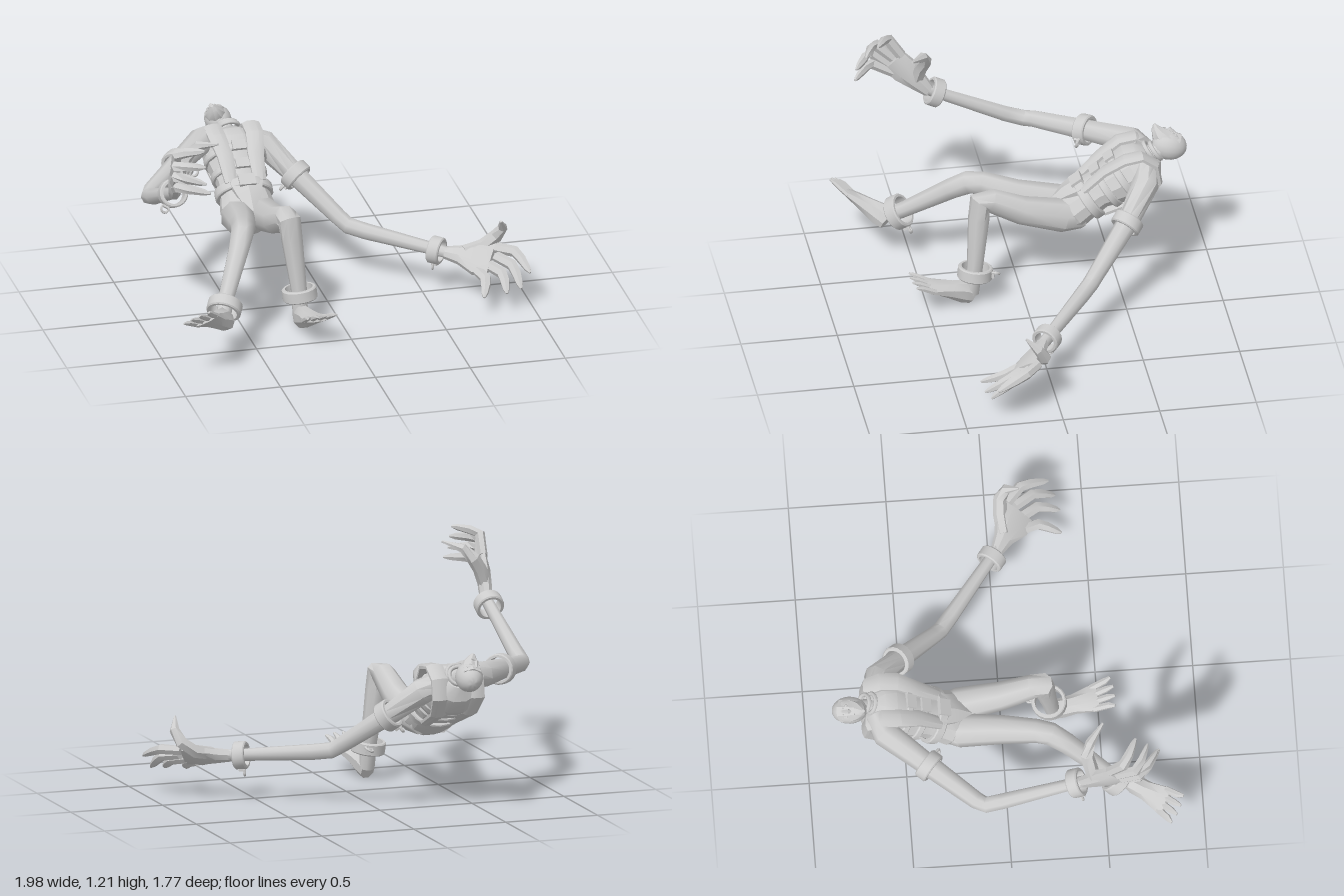
import * as THREE from 'three';
import { toCreasedNormals } from 'three/addons/utils/BufferGeometryUtils.js';

const V = (a) => new THREE.Vector3(a[0], a[1], a[2]);
const grey = new THREE.MeshStandardMaterial({ color: 0xcccccc });

function add(parent, name, geometry, crease = 0.85) {
  const mesh = new THREE.Mesh(toCreasedNormals(geometry, crease), grey);
  mesh.name = name;
  parent.add(mesh);
  return mesh;
}

// Skin over oval cross-sections [x, y, z, halfWidth, halfDepth]; ref is the depth direction
function loft(sections, ref = V([0, 1, 0.01]), n = 8) {
  const pos = [], idx = [], last = sections.length - 1;
  sections.forEach((s, i) => {
    const T = V(sections[Math.min(i + 1, last)]).sub(V(sections[Math.max(i - 1, 0)])).normalize();
    const S = ref.clone().cross(T).normalize(), F = T.clone().cross(S);
    for (let j = 0; j < n; j++) {
      const t = (j + 0.5) / n * Math.PI * 2;
      const p = V(s).addScaledVector(S, s[3] * Math.cos(t)).addScaledVector(F, (s[4] ?? s[3]) * Math.sin(t));
      pos.push(p.x, p.y, p.z);
      if (i < last) {
        const a = i * n + j, b = i * n + (j + 1) % n;
        idx.push(a, b, b + n, a, b + n, a + n);
      }
    }
  });
  for (let j = 1; j < n - 1; j++) {
    idx.push(0, j + 1, j, last * n, last * n + j, last * n + j + 1);
  }
  const g = new THREE.BufferGeometry();
  g.setAttribute('position', new THREE.Float32BufferAttribute(pos, 3));
  g.setIndex(idx);
  return g;
}

// Square-edged ring around y
function ring(ri, ro, h) {
  const b = 0.006;
  const p = [[ri, -h], [ro - b, -h], [ro, -h + b], [ro, h - b], [ro - b, h], [ri, h], [ri, -h]];
  return new THREE.LatheGeometry(p.map(([x, y]) => new THREE.Vector2(x, y)), 20);
}

// Cuff around a limb with a loop hanging on the given side
function cuff(parent, name, at, dir, side, r, h = 0.032) {
  const g = new THREE.Group();
  g.name = name;
  const Y = V(dir).normalize(), X = V(side);
  X.addScaledVector(Y, -X.dot(Y)).normalize();
  g.setRotationFromMatrix(new THREE.Matrix4().makeBasis(X, Y, X.clone().cross(Y)));
  g.position.copy(V(at));
  add(g, 'band', ring(r - 0.018, r, h), 0.6);
  add(g, 'lug', new THREE.BoxGeometry(0.016, 0.03, 0.03)).position.x = r + 0.002;
  const loop = add(g, 'loop', new THREE.TorusGeometry(0.022, 0.007, 6, 14), 1);
  loop.position.set(r + 0.012, -0.01, 0);
  loop.rotation.x = Math.PI / 2.6;
  parent.add(g);
}

// Palm spread between wrist and knuckles, with bent tapering fingers and a thumb
function hand(parent, name, wrist, fingers, thumb) {
  const g = new THREE.Group();
  g.name = name;
  const first = V(fingers[0][0]), end = V(fingers[3][0]);
  const K = first.clone().sub(end), w = K.length() / 2 + 0.025;
  const mid = first.add(end).multiplyScalar(0.5), W = V(wrist);
  const ref = mid.clone().sub(W).cross(K).normalize();
  const at = (t) => W.clone().lerp(mid, t).toArray();
  add(g, 'palm', loft([[...at(0), 0.034, 0.03], [...at(0.35), 0.055, 0.036],
    [...at(0.75), w, 0.036], [...at(1.12), w, 0.024]], ref), 0.5);
  for (const f of fingers) {
    const [a, b, c] = f;
    add(g, 'finger', loft([[...a, 0.029, 0.025], [...V(a).lerp(V(b), 0.9).toArray(), 0.03, 0.027],
      [...V(b).lerp(V(c), 0.35).toArray(), 0.026, 0.023], [...V(b).lerp(V(c), 0.8).toArray(), 0.018, 0.014],
      [...c, 0.006]], ref, 6), 0.5);
  }
  const tr = [0.035, 0.036, 0.035, 0.026, 0.006];
  add(g, 'thumb', loft(thumb.map((p, i) => [...p, tr[i]]), ref, 6), 0.5);
  parent.add(g);
}

// Wedge foot from heel to toe base, with four spread toes; across is the width direction
function foot(parent, name, heel, tip, across) {
  const g = new THREE.Group();
  g.name = name;
  const H = V(heel), D = V(tip).sub(H), K = V(across).normalize();
  const up = K.clone().cross(D).normalize();
  const at = (t, k = 0, u = 0) => H.clone().addScaledVector(D, t).addScaledVector(K, k).addScaledVector(up, u).toArray();
  add(g, 'sole', loft([[...at(-0.08), 0.038, 0.05], [...at(0.08), 0.05, 0.062], [...at(0.3, 0, -0.015), 0.052, 0.046],
    [...at(0.55, 0, -0.03), 0.072, 0.028], [...at(0.7, 0, -0.04), 0.08, 0.016]], up), 0.5);
  for (let i = 0; i < 4; i++) {
    const k = (i - 1.5) * 0.037;
    add(g, 'toe', loft([[...at(0.6, k, -0.035), 0.02, 0.016], [...at(0.86, k * 1.2, -0.036), 0.018, 0.013],
      [...at(1 - Math.abs(i - 1.5) * 0.03, k * 1.4, -0.04), 0.008, 0.005]], up, 6), 0.5);
  }
  parent.add(g);
}

function makeTorso() {
  const g = new THREE.Group();
  g.name = 'torso';
  g.position.set(-0.35, 0.45, -0.28);
  g.rotation.x = -0.977;
  const front = V([0, 0, 1]);
  add(g, 'body', loft([[0, -0.13, 0, 0.05, 0.04], [0, -0.08, 0, 0.11, 0.085], [0, 0, 0, 0.145, 0.11],
    [0, 0.09, 0, 0.13, 0.1], [0, 0.16, 0, 0.125, 0.095], [0, 0.28, -0.015, 0.15, 0.125],
    [0, 0.38, -0.02, 0.16, 0.135], [0, 0.45, -0.02, 0.13, 0.11], [0, 0.49, -0.01, 0.06, 0.06]], front, 12), 0.5);
  const belt = add(g, 'belt', ring(0.13, 0.152, 0.026), 0.6);
  belt.position.y = 0.1;
  belt.scale.z = 0.8;
  add(g, 'buckle', new THREE.BoxGeometry(0.085, 0.065, 0.025)).position.set(0, 0.1, 0.118);
  add(g, 'loincloth', loft([[0, 0.1, 0.085, 0.1, 0.035], [0, 0.02, 0.09, 0.075, 0.035],
    [0, -0.09, 0.085, 0.02, 0.02]], front, 6), 0.4);
  // Broad vest lapels run from the belt over each shoulder and down the back
  for (const s of [-1, 1]) {
    const path = [[0.075, 0.11, 0.085, 0.035], [0.08, 0.26, 0.112, 0.045], [0.1, 0.38, 0.112, 0.05], [0.1, 0.46, 0.075, 0.05],
      [0.095, 0.49, -0.01, 0.05], [0.095, 0.45, -0.1, 0.05], [0.085, 0.34, -0.138, 0.045], [0.07, 0.12, -0.09, 0.035]];
    add(g, 'vestLapel', loft(path.map(([x, y, z, w]) => [x * s, y, z, 0.02, w]), V([1, 0, 0]), 8), 0.5);
  }
  for (const [y, r] of [[0.21, 0.146], [0.31, 0.164]]) {
    const strap = add(g, 'chestStrap', ring(r - 0.02, r, 0.02), 0.6);
    strap.position.set(0, y, -0.01);
    strap.scale.z = 0.84;
    add(g, 'strapBuckle', new THREE.BoxGeometry(0.07, 0.055, 0.016)).position.set(0, y, r * 0.84 - 0.01);
  }
  for (const [y, z, r] of [[0.49, 0.015, 0.052], [0.515, -0.005, 0.05]]) {
    const collar = add(g, 'collar', new THREE.TorusGeometry(r, 0.011, 8, 20), 1);
    collar.position.set(0, y, z);
    collar.rotation.x = Math.PI / 2;
  }
  return g;
}

function makeHead() {
  const g = new THREE.Group();
  g.name = 'head';
  // Local axes: y to the crown, z out of the face
  const Y = V([0.1, -0.2, -0.97]).normalize(), Z = V([-0.4, 0.9, -0.2]);
  Z.addScaledVector(Y, -Z.dot(Y)).normalize();
  g.setRotationFromMatrix(new THREE.Matrix4().makeBasis(Y.clone().cross(Z), Y, Z));
  g.position.set(-0.38, 0.74, -0.785);
  const skull = add(g, 'skull', new THREE.SphereGeometry(0.075, 16, 12), 1);
  skull.scale.set(0.93, 1.22, 1.0);
  const f = V([0, 0, 1]);
  add(g, 'jaw', loft([[0, 0.04, 0.01, 0.062, 0.062], [0, -0.02, 0.025, 0.06, 0.056],
    [0, -0.06, 0.05, 0.046, 0.045], [0, -0.085, 0.08, 0.022, 0.022], [0, -0.092, 0.098, 0.008, 0.008]], f), 0.6);
  add(g, 'nose', loft([[0, 0.025, 0.066, 0.007], [0, -0.012, 0.083, 0.013], [0, -0.022, 0.075, 0.006]], f, 6));
  add(g, 'mouth', new THREE.BoxGeometry(0.04, 0.01, 0.02)).position.set(0, -0.036, 0.078);
  for (const s of [-1, 1]) {
    add(g, 'brow', loft([[s * 0.045, 0.024, 0.05, 0.007], [s * 0.012, 0.018, 0.068, 0.007]], f, 6));
    add(g, 'eye', new THREE.SphereGeometry(0.009, 8, 6), 1).position.set(s * 0.027, 0.004, 0.065);
  }
  return g;
}

export function createModel() {
  const model = new THREE.Group();
  model.name = 'shackledFigure';
  model.add(makeTorso(), makeHead());
  add(model, 'neck', loft([[-0.355, 0.68, -0.62, 0.055], [-0.365, 0.715, -0.7, 0.046], [-0.38, 0.73, -0.78, 0.05]]));

  // Arms
  add(model, 'leftArm', loft([[-0.27, 0.69, -0.64, 0.06], [-0.18, 0.65, -0.63, 0.07], [-0.05, 0.52, -0.52, 0.056],
    [0.14, 0.335, -0.32, 0.044], [0.18, 0.3, -0.28, 0.043], [0.26, 0.285, -0.22, 0.042], [0.63, 0.24, 0.05, 0.03]]));
  add(model, 'rightArm', loft([[-0.41, 0.72, -0.65, 0.06], [-0.51, 0.71, -0.61, 0.07], [-0.69, 0.685, -0.4, 0.056],
    [-0.885, 0.655, -0.17, 0.045], [-0.91, 0.65, -0.12, 0.043], [-0.908, 0.685, -0.03, 0.042], [-0.9, 0.88, 0.38, 0.03]],
  V([0.3, 1, 0])));
  hand(model, 'leftHand', [0.61, 0.24, 0.04], [
    [[0.86, 0.27, 0.11], [0.95, 0.27, 0.19], [0.985, 0.21, 0.33]],
    [[0.85, 0.24, 0.15], [0.92, 0.22, 0.25], [0.93, 0.14, 0.36]],
    [[0.80, 0.21, 0.18], [0.86, 0.19, 0.27], [0.85, 0.13, 0.38]],
    [[0.74, 0.19, 0.19], [0.77, 0.17, 0.27], [0.73, 0.12, 0.38]]],
  [[0.7, 0.25, 0.08], [0.8, 0.27, 0.07], [0.87, 0.32, 0.075], [0.895, 0.38, 0.11], [0.87, 0.44, 0.17]]);
  hand(model, 'rightHand', [-0.9, 0.87, 0.37], [
    [[-0.93, 1.08, 0.51], [-0.94, 1.19, 0.585], [-0.81, 1.215, 0.65]],
    [[-0.945, 1.06, 0.55], [-0.96, 1.15, 0.65], [-0.82, 1.15, 0.71]],
    [[-0.95, 1.02, 0.57], [-0.965, 1.1, 0.67], [-0.83, 1.08, 0.76]],
    [[-0.94, 0.98, 0.55], [-0.955, 1.04, 0.67], [-0.81, 1.03, 0.77]]],
  [[-0.91, 0.95, 0.43], [-0.88, 1.03, 0.415], [-0.84, 1.09, 0.4], [-0.79, 1.145, 0.42], [-0.7, 1.175, 0.49]]);

  // Legs
  add(model, 'leftLeg', loft([[-0.3, 0.42, -0.32, 0.07], [-0.28, 0.44, -0.22, 0.088], [-0.27, 0.5, 0, 0.074],
    [-0.26, 0.58, 0.16, 0.062], [-0.255, 0.585, 0.215, 0.06], [-0.245, 0.49, 0.225, 0.056],
    [-0.215, 0.22, 0.25, 0.042], [-0.21, 0.07, 0.27, 0.04]], V([1, 0, 0])));
  add(model, 'rightLeg', loft([[-0.39, 0.42, -0.32, 0.07], [-0.42, 0.44, -0.22, 0.088], [-0.45, 0.49, 0, 0.074],
    [-0.49, 0.545, 0.17, 0.062], [-0.51, 0.545, 0.235, 0.06], [-0.55, 0.49, 0.32, 0.055],
    [-0.67, 0.32, 0.53, 0.042], [-0.7, 0.27, 0.61, 0.04]], V([1, 0, 0])));
  foot(model, 'leftFoot', [-0.21, 0.07, 0.285], [-0.175, 0.235, 0.57], [-1, 0, 0.1]);
  foot(model, 'rightFoot', [-0.7, 0.26, 0.64], [-0.92, 0.42, 0.84], [-0.7, -0.5, -0.43]);

  // Cuffs
  cuff(model, 'leftArmCuff', [-0.04, 0.51, -0.51], [0.18, -0.18, 0.19], [-0.5, -1, 0], 0.08);
  cuff(model, 'rightArmCuff', [-0.69, 0.685, -0.4], [-0.2, -0.03, 0.23], [0.7, -0.3, 0.5], 0.08);
  cuff(model, 'leftWristCuff', [0.57, 0.245, 0.01], [0.37, -0.045, 0.27], [0, -1, 0], 0.072);
  cuff(model, 'rightWristCuff', [-0.9, 0.86, 0.34], [0, 0.2, 0.41], [-0.6, -1, 0], 0.075);
  cuff(model, 'leftAnkleCuff', [-0.21, 0.19, 0.25], [0.03, -0.26, 0.03], [0.3, 0, -1], 0.09);
  cuff(model, 'rightAnkleCuff', [-0.685, 0.295, 0.565], [-0.12, -0.17, 0.22], [0.3, -1, -0.2], 0.09);
  return model;
}
